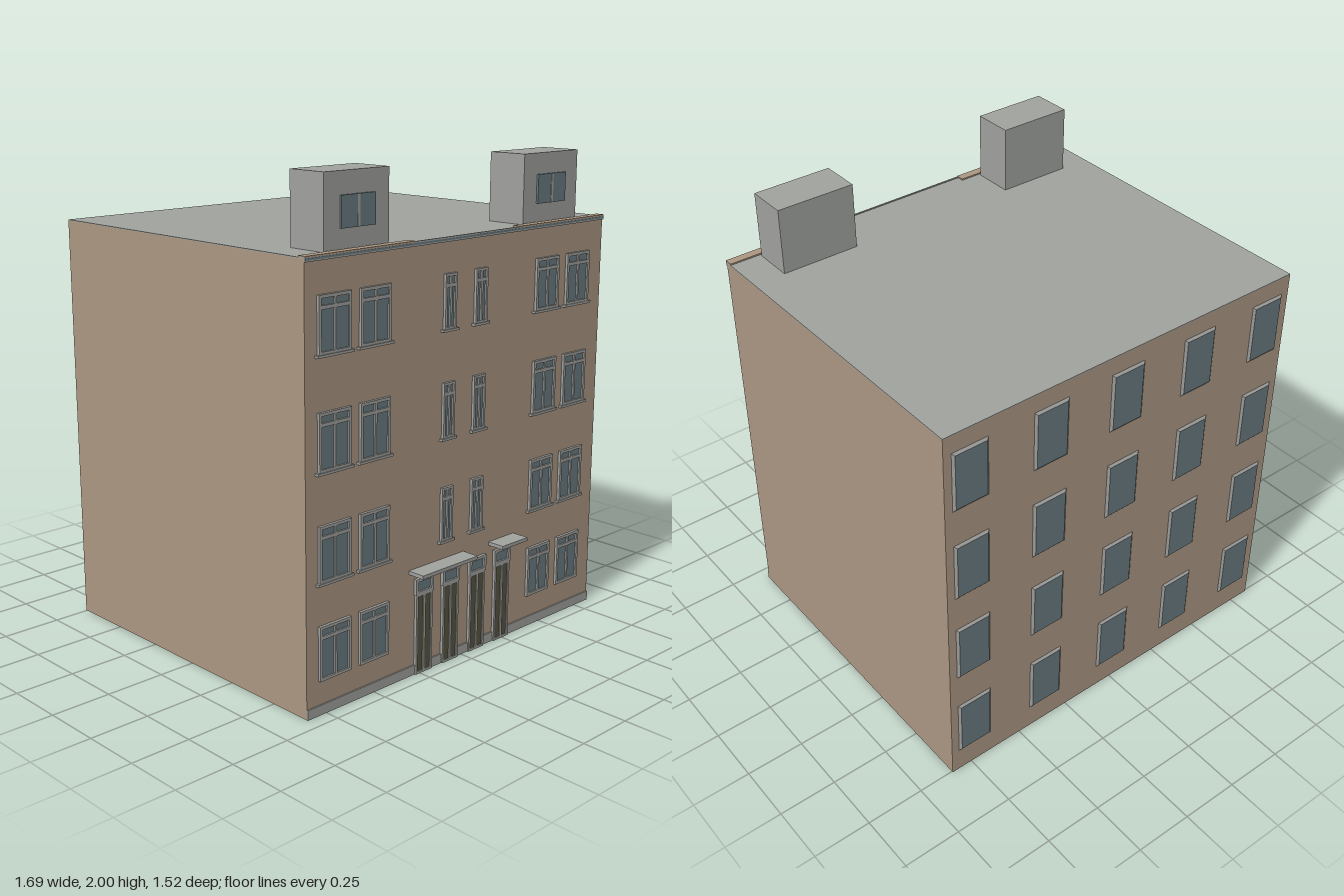
import * as THREE from 'three';

const mat = (name, color) => new THREE.MeshStandardMaterial({ name, color });

export function createModel() {
  const wall = mat('wall', 0xab9782);
  const stone = mat('stone', 0xa0a29e);
  const glass = mat('glass', 0x687a80);
  const door = mat('door', 0x58553f);
  const root = new THREE.Group();
  root.name = 'apartmentBlock';
  const FRONT = 0.685, BACK = -0.755, ROOF = 1.72, HALF = 0.845;

  // Box given by its extents
  function box(name, material, x0, x1, y0, y1, z0, z1, parent = root) {
    const g = new THREE.BoxGeometry(x1 - x0, y1 - y0, z1 - z0);
    g.translate((x0 + x1) / 2, (y0 + y1) / 2, (z0 + z1) / 2);
    const m = new THREE.Mesh(g, material);
    m.name = name;
    parent.add(m);
    return m;
  }

  function group(name) {
    const g = new THREE.Group();
    g.name = name;
    root.add(g);
    return g;
  }

  function rect(path, [x0, x1, y0, y1]) {
    path.moveTo(x0, y0);
    path.lineTo(x1, y0);
    path.lineTo(x1, y1);
    path.lineTo(x0, y1);
    path.closePath();
    return path;
  }

  // Flat frame with rectangular openings
  function frame(name, outer, openings, z, depth, parent) {
    const s = rect(new THREE.Shape(), outer);
    openings.forEach(o => s.holes.push(rect(new THREE.Path(), o)));
    const g = new THREE.ExtrudeGeometry(s, { depth, bevelEnabled: false });
    g.translate(0, 0, z);
    const m = new THREE.Mesh(g, stone);
    m.name = name;
    parent.add(m);
  }

  // Two-sash window with a transom bar and optional sill
  function frontWindow(x0, x1, y0, y1, sill) {
    const p = group('frontWindow');
    const b = x1 - x0 > 0.1 ? 0.012 : 0.01, c = (x0 + x1) / 2, half = 0.005;
    const t = y1 - 0.052;
    const openings = [];
    for (const [a, d] of [[x0 + b, c - half], [c + half, x1 - b]]) {
      openings.push([a, d, y0 + b, t], [a, d, t + 0.014, y1 - b]);
    }
    frame('windowFrame', [x0, x1, y0, y1], openings, FRONT, 0.012, p);
    box('windowGlass', glass, x0 + 0.004, x1 - 0.004, y0 + 0.004, y1 - 0.004, FRONT, FRONT + 0.005, p);
    if (sill) box('windowSill', stone, x0 - 0.011, x1 + 0.011, y0 - 0.008, y0 + 0.002, FRONT, FRONT + 0.016, p);
  }

  // Main block and flat roof
  box('walls', wall, -HALF, HALF, 0, ROOF - 0.004, BACK, FRONT);
  box('roof', stone, -HALF, HALF, ROOF - 0.004, ROOF, BACK, FRONT);
  for (const s of [-1, 1]) {
    const a = s * 0.3, b = s * HALF;
    box('roofEdge', wall, Math.min(a, b), Math.max(a, b), ROOF, ROOF + 0.006, 0.655, FRONT + 0.007);
  }

  // Cornice and plinth along the front
  box('cornice', stone, -HALF, HALF, 1.705, ROOF + 0.004, FRONT, FRONT + 0.006);
  box('corniceStripe', glass, -HALF, HALF, 1.711, 1.718, FRONT + 0.001, FRONT + 0.007);
  box('plinth', stone, -HALF, HALF, 0, 0.04, FRONT, FRONT + 0.006);

  // Front windows
  const wide = [[-0.786, -0.627], [-0.58, -0.426], [0.41, 0.553], [0.606, 0.754]];
  const narrow = [[-0.135, -0.071], [0.04, 0.108]];
  for (const [y0, y1] of [[0.137, 0.353], [0.52, 0.74], [0.94, 1.162], [1.37, 1.585]]) {
    const upper = y0 > 0.3;
    wide.forEach(([a, b]) => frontWindow(a, b, y0, y1, upper));
    if (upper) narrow.forEach(([a, b]) => frontWindow(a, b, y0, y1, true));
  }

  // Entrance doors with a fanlight above
  for (const c of [-0.228, -0.074, 0.086, 0.241]) {
    const p = group('entrance');
    const panes = [
      [c - 0.036, c - 0.006, 0.01, 0.325],
      [c + 0.006, c + 0.036, 0.01, 0.325],
    ];
    frame('doorFrame', [c - 0.046, c + 0.046, 0, 0.338], panes, FRONT, 0.012, p);
    box('doorLeaves', door, c - 0.042, c + 0.042, 0.004, 0.33, FRONT, FRONT + 0.008, p);
    frame('fanlightFrame', [c - 0.05, c + 0.05, 0.333, 0.4],
      [[c - 0.037, c + 0.037, 0.347, 0.388]], FRONT, 0.014, p);
    box('fanlightGlass', glass, c - 0.042, c + 0.042, 0.34, 0.394, FRONT, FRONT + 0.006, p);
  }

  // Canopies over the doors
  box('wideCanopy', stone, -0.308, 0.008, 0.428, 0.443, FRONT, 0.761);
  box('narrowCanopy', stone, 0.163, 0.32, 0.428, 0.443, FRONT, 0.761);

  // Rooftop boxes with a small window
  for (const [x0, x1, w0, w1] of [[-0.715, -0.392, -0.637, -0.468], [0.371, 0.71, 0.452, 0.627]]) {
    const p = group('roofBox');
    const c = (w0 + w1) / 2;
    box('roofBoxBody', stone, x0, x1, ROOF, 2, 0.47, 0.645, p);
    box('roofBoxGlass', glass, w0, w1, 1.798, 1.915, 0.645, 0.654, p);
    box('roofBoxMullion', stone, c - 0.006, c + 0.006, 1.798, 1.915, 0.645, 0.656, p);
  }

  // Rear windows: shallow tapered blocks, glazed on the outer face
  const taper = (w, h, d, inset) => {
    const g = new THREE.BoxGeometry(w, h, d);
    const a = g.attributes.position;
    for (let i = 0; i < a.count; i++) {
      if (a.getZ(i) > 0) continue;
      a.setX(i, a.getX(i) - Math.sign(a.getX(i)) * inset);
      a.setY(i, a.getY(i) - Math.sign(a.getY(i)) * inset);
    }
    g.computeVertexNormals();
    return g;
  };
  const rearGeometry = taper(0.16, 0.262, 0.008, 0.01);
  const rearMaterials = [stone, stone, stone, stone, stone, glass];
  for (let i = -2; i <= 2; i++) {
    for (const y of [0.24, 0.663, 1.085, 1.51]) {
      const m = new THREE.Mesh(rearGeometry, rearMaterials);
      m.name = 'rearWindow';
      m.position.set(i * 0.365, y, BACK - 0.004);
      root.add(m);
    }
  }
  return root;
}
